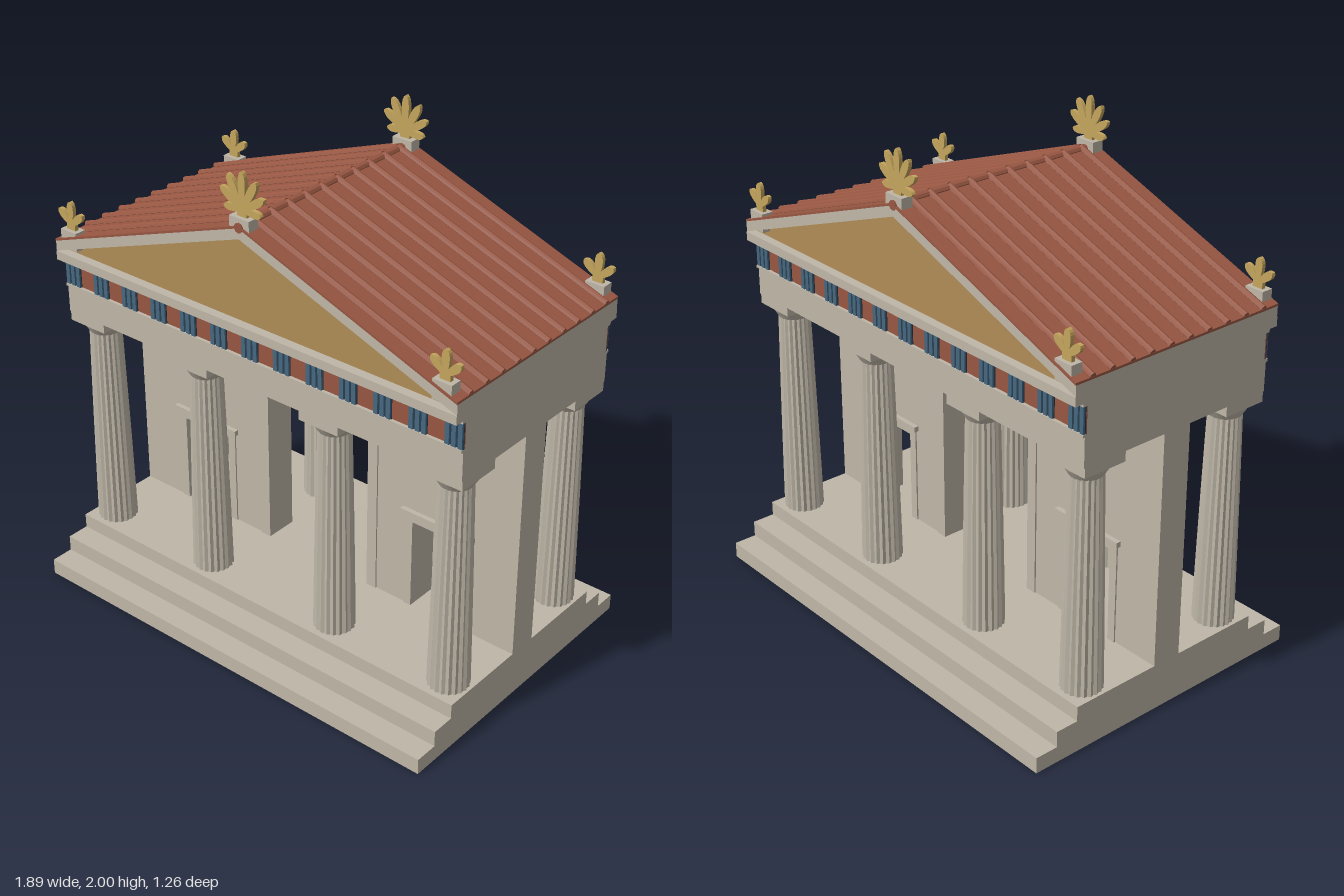
import * as THREE from 'three';

const mat = (name, color, flatShading = false) => {
  const m = new THREE.MeshStandardMaterial({ color, flatShading });
  m.name = name;
  return m;
};

export function createModel() {
  const model = new THREE.Group();
  model.name = 'temple';
  const stone = mat('stone', 0xbfb7a8, true);
  const terracotta = mat('terracotta', 0x985742, true);
  const ochre = mat('ochre', 0xb08d57);
  const gold = mat('gold', 0xc4a55c);
  const blue = mat('blue', 0x46677f);
  const navy = mat('navy', 0x263c50);

  const add = (name, geo, material, parent = model) => {
    const mesh = new THREE.Mesh(geo, material);
    mesh.name = name;
    parent.add(mesh);
    return mesh;
  };
  // Box from its lower and upper corners
  const box = (name, material, x0, x1, y0, y1, z0, z1, parent) => {
    const mesh = add(name, new THREE.BoxGeometry(x1 - x0, y1 - y0, z1 - z0), material, parent);
    mesh.position.set((x0 + x1) / 2, (y0 + y1) / 2, (z0 + z1) / 2);
  };
  // Outline in x and y, extruded along z
  const prism = (name, material, pts, z0, z1) => {
    const shape = new THREE.Shape(pts.map(([x, y]) => new THREE.Vector2(x, y)));
    const geo = new THREE.ExtrudeGeometry(shape, { depth: z1 - z0, bevelEnabled: false });
    add(name, geo.translate(0, 0, z0), material);
  };
  const W = 0.94;

  // Stepped platform
  [[0, 0.065, 0.63], [0.065, 0.13, 0.535], [0.13, 0.19, 0.44]].forEach(([y0, y1, z]) =>
    box('step', stone, -W, W, y0, y1, -z, z));

  // Cross wall with three doorways
  const doors = [
    { x: -0.583, half: 0.117, top: 0.575, frame: 0.035, cap: 0.165 },
    { x: 0, half: 0.25, top: 0.885, frame: 0.045, cap: 0.32 },
    { x: 0.583, half: 0.117, top: 0.575, frame: 0.035, cap: 0.165 },
  ];
  const outline = [[-W, 0.19]];
  doors.forEach(({ x, half, top }) => outline.push(
    [x - half, 0.19], [x - half, top], [x + half, top], [x + half, 0.19]));
  outline.push([W, 0.19], [W, 1.14], [-W, 1.14]);
  prism('crossWall', stone, outline, -0.062, 0.062);

  // Door frames and lintels, on both faces of the wall
  doors.forEach(({ x, half, top, frame, cap }) => {
    const o = half + frame, h = top + 0.03;
    prism('doorFrame', stone, [
      [x - o, 0.19], [x - half, 0.19], [x - half, top], [x + half, top],
      [x + half, 0.19], [x + o, 0.19], [x + o, h], [x - o, h],
    ], -0.068, 0.068);
    box('doorLintel', stone, x - cap, x + cap, h, h + 0.022, -0.082, 0.082);
  });

  // Fluted, tapering shaft
  const shaft = new THREE.CylinderGeometry(1, 1, 0.87, 40, 5, true);
  const p = shaft.attributes.position;
  for (let i = 0; i < p.count; i++) {
    const t = p.getY(i) / 0.87 + 0.5;
    const r = (0.081 - 0.013 * t - 0.004 * t * t) * ((i % 41) % 2 ? 0.92 : 1);
    p.setX(i, p.getX(i) * r);
    p.setZ(i, p.getZ(i) * r);
  }
  const echinus = new THREE.LatheGeometry(
    [[0.062, 1.055], [0.068, 1.065], [0.08, 1.085], [0.087, 1.1], [0, 1.1]]
      .map(([x, y]) => new THREE.Vector2(x, y)), 32);
  for (const z of [-0.338, 0.338]) {
    for (const x of [-0.85, -0.312, 0.312, 0.85]) {
      const column = new THREE.Group();
      column.name = 'column';
      column.position.set(x, 0, z);
      add('shaft', shaft, stone, column).position.y = 0.625;
      add('echinus', echinus, stone, column);
      box('abacus', stone, -0.09, 0.09, 1.1, 1.14, -0.093, 0.093, column);
      model.add(column);
    }
  }

  // Entablature
  box('architrave', stone, -W, W, 1.14, 1.255, -0.435, 0.435);
  box('taenia', stone, -W, W, 1.255, 1.266, -0.444, 0.444);
  box('friezeBlock', stone, -W, W, 1.266, 1.368, -0.426, 0.426);
  box('corniceBed', stone, -W, W, 1.368, 1.38, -0.444, 0.444);
  box('cornice', stone, -W, W, 1.38, 1.416, -0.48, 0.48);

  // Petal outline for the roof ornaments
  const leaf = (length, width) => {
    const s = new THREE.Shape();
    s.moveTo(0.006, 0);
    s.bezierCurveTo(width * 0.6, length * 0.45, width, length * 0.9, 0, length);
    s.bezierCurveTo(-width, length * 0.9, -width * 0.6, length * 0.45, -0.006, 0);
    return new THREE.ExtrudeGeometry(s, { depth: 0.016, bevelEnabled: false, curveSegments: 8 })
      .translate(0, 0, -0.008);
  };
  const ornament = (parent, x, y0, y1, halfBase, stem, petals) => {
    const g = new THREE.Group();
    g.name = 'roofOrnament';
    g.position.set(x, 0, 0.45);
    box('ornamentBase', stone, -halfBase, halfBase, y0, y1, -0.024, 0.024, g);
    box('ornamentStem', gold, -0.022, 0.022, y1, y1 + stem, -0.008, 0.008, g);
    petals.forEach(([angle, length, width]) => {
      for (const s of angle ? [-1, 1] : [1]) {
        const petal = add('petal', leaf(length, width), gold, g);
        petal.position.y = y1 + stem * 0.6;
        petal.rotation.z = s * angle;
      }
    });
    parent.add(g);
  };

  // Painted frieze, gable panel and ornaments, repeated front and back
  for (const turn of [0, Math.PI]) {
    const end = new THREE.Group();
    end.name = turn ? 'backGable' : 'frontGable';
    end.rotation.y = turn;
    model.add(end);
    box('metopeBand', terracotta, -W, W, 1.266, 1.368, 0.426, 0.431, end);
    for (let i = -6; i <= 6; i++) {
      const x = i * 0.1503;
      box('triglyphGround', navy, x - 0.038, x + 0.038, 1.266, 1.368, 0.429, 0.435, end);
      for (const d of [-0.027, 0, 0.027])
        box('triglyphBar', blue, x + d - 0.009, x + d + 0.009, 1.266, 1.368, 0.433, 0.441, end);
    }
    const tri = new THREE.Shape([[-W, 1.416], [W, 1.416], [0, 1.755]]
      .map(([x, y]) => new THREE.Vector2(x, y)));
    add('gablePanel', new THREE.ShapeGeometry(tri), ochre, end).position.z = 0.443;
    ornament(end, 0, 1.77, 1.832, 0.045, 0.04,
      [[0, 0.144, 0.026], [0.5, 0.135, 0.026], [1.0, 0.118, 0.025], [1.6, 0.085, 0.022]]);
    for (const x of [-0.872, 0.872])
      ornament(end, x, 1.44, 1.516, 0.04, 0.03, [[0, 0.096, 0.026], [0.85, 0.082, 0.025]]);
  }

  // Gable body, raking cornice and roof skin
  prism('gableBody', stone, [[-W, 1.416], [W, 1.416], [0, 1.755]], -0.44, 0.44);
  const chevron = (name, material, edge0, edge1, top0, top1, z) => prism(name, material,
    [[-W, edge0], [0, top0], [W, edge0], [W, edge1], [0, top1], [-W, edge1]], -z, z);
  chevron('rakingCornice', stone, 1.416, 1.458, 1.755, 1.797, 0.478);
  chevron('roofSkin', terracotta, 1.458, 1.467, 1.797, 1.806, 0.48);

  // Cover tiles down both slopes, and the ridge tile
  const run = Math.hypot(W, 0.339);
  const rib = new THREE.CylinderGeometry(0.013, 0.013, run, 8);
  for (const s of [-1, 1]) {
    for (let i = 0; i < 10; i++) {
      const tile = add('coverTile', rib, terracotta);
      tile.position.set(s * W / 2, 1.638, -0.405 + i * 0.09);
      tile.rotation.z = Math.atan2(-s * W, -0.339);
    }
  }
  const ridge = add('ridgeTile', new THREE.CylinderGeometry(0.019, 0.019, 0.96, 10), terracotta);
  ridge.rotation.x = Math.PI / 2;
  ridge.position.y = 1.797;

  return model;
}
